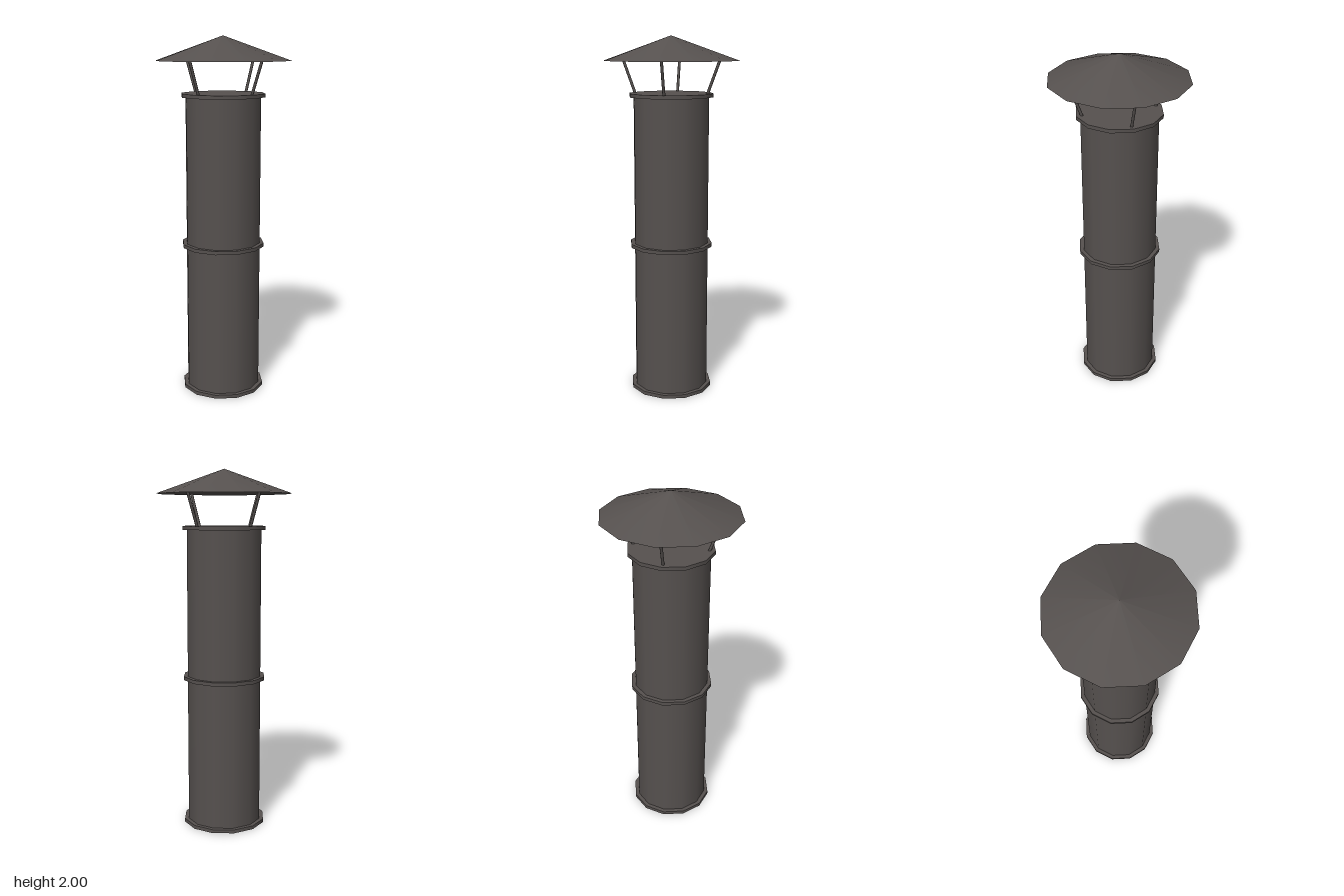
import * as THREE from 'three';

const SIDES = 12;

export function createModel() {
  const group = new THREE.Group();
  group.name = 'chimneyPipe';
  const metal = new THREE.MeshStandardMaterial({ color: 0x56514f });
  metal.name = 'dark grey metal';

  const add = (name, geometry, y) => {
    const mesh = new THREE.Mesh(geometry, metal);
    mesh.name = name;
    mesh.position.y = y;
    group.add(mesh);
    return mesh;
  };

  // Main flue
  add('pipe', new THREE.CylinderGeometry(0.21, 0.21, 1.68, SIDES), 0.845);

  // Flanges at the bottom, the joint and the top
  const flange = new THREE.CylinderGeometry(0.233, 0.233, 0.02, SIDES);
  [['bottomFlange', 0.01], ['middleFlange', 0.849], ['topFlange', 1.683]]
    .forEach(([name, y]) => add(name, flange, y));

  // Conical rain cap
  add('rainCap', new THREE.ConeGeometry(0.375, 0.133, SIDES), 1.9335);

  // Four struts leaning outward to the cap
  const foot = new THREE.Vector3(0.199, 1.685, 0);
  const head = new THREE.Vector3(0.268, 1.875, 0);
  const direction = head.clone().sub(foot);
  const rod = new THREE.CylinderGeometry(0.008, 0.008, direction.length(), 8);
  rod.applyQuaternion(new THREE.Quaternion().setFromUnitVectors(
    new THREE.Vector3(0, 1, 0), direction.clone().normalize()));
  rod.translate((foot.x + head.x) / 2, 0, 0);
  ['left', 'back', 'right', 'front'].forEach((side, i) => {
    add(side + 'Strut', rod, (foot.y + head.y) / 2).rotation.y = i * Math.PI / 2;
  });

  return group;
}
